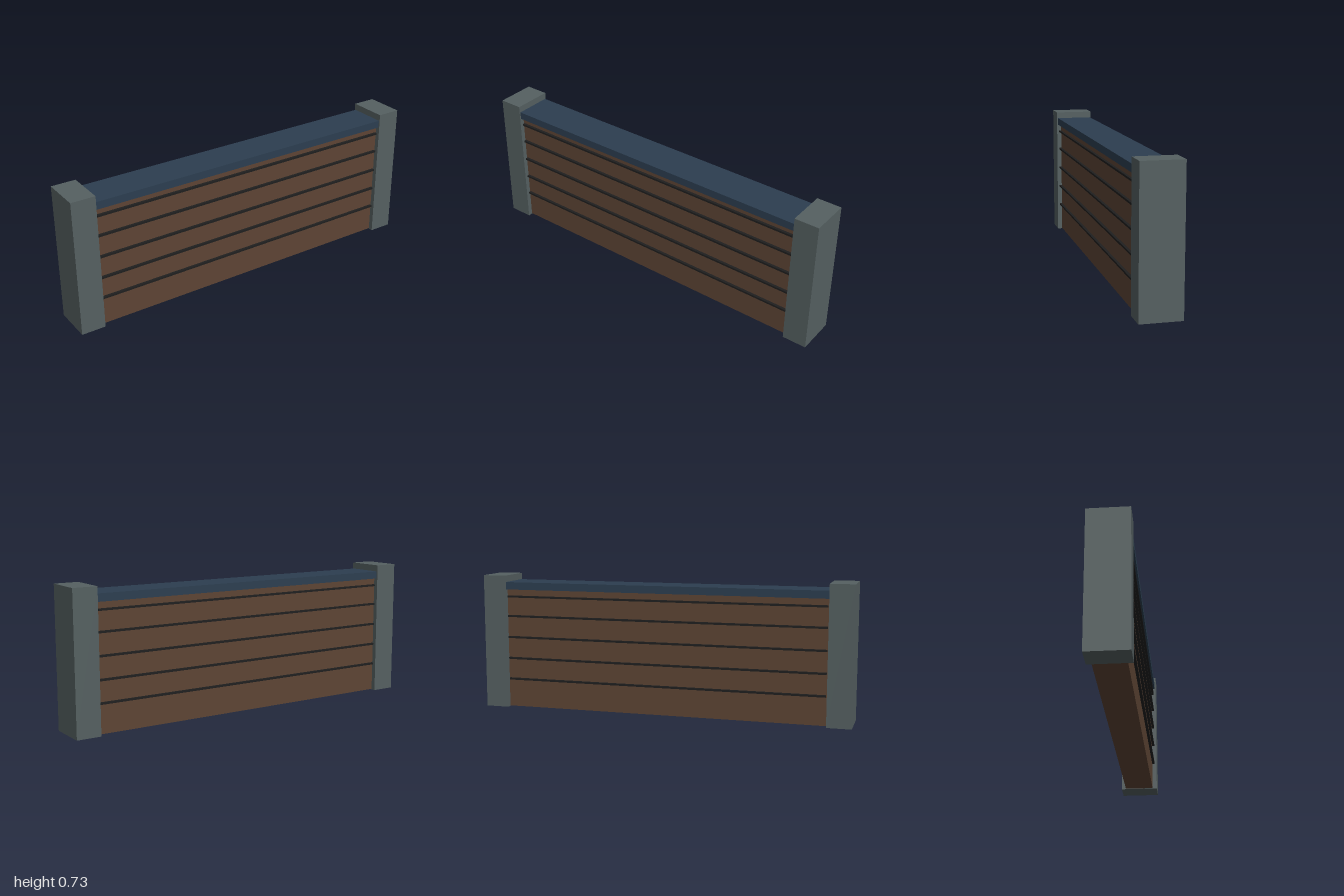
import * as THREE from 'three';

const mat = (name, color) => {
  const m = new THREE.MeshStandardMaterial({ color });
  m.name = name;
  return m;
};

export function createModel() {
  const stone = mat('grey stone', 0x556061);
  const wood = mat('brown wood', 0x5d4434);
  const blue = mat('dark blue', 0x2c3e50);
  const dark = mat('near black', 0x1f1f1f);

  const group = new THREE.Group();
  group.name = 'barrierWall';

  // Box centred on x and z, spanning y0 to y1
  const box = (name, material, w, y0, y1, d, x = 0, z = 0) => {
    const mesh = new THREE.Mesh(new THREE.BoxGeometry(w, y1 - y0, d), material);
    mesh.position.set(x, (y0 + y1) / 2, z);
    mesh.name = name;
    group.add(mesh);
  };

  // Plank body and overhanging cap
  box('panel', wood, 1.744, 0.003, 0.65, 0.16);
  box('cap', blue, 1.744, 0.65, 0.69, 0.198);

  // End posts
  for (const side of [-1, 1]) {
    box(side > 0 ? 'leftPost' : 'rightPost', stone, 0.128, 0, 0.725, 0.21, side * 0.936);
  }

  // Raised seam strips between planks, on both faces
  for (const y of [0.157, 0.272, 0.388, 0.504, 0.611]) {
    for (const side of [-1, 1]) {
      box(side > 0 ? 'frontSeam' : 'backSeam', dark, 1.732, y - 0.005, y + 0.005, 0.016, 0, side * 0.086);
    }
  }

  return group;
}
